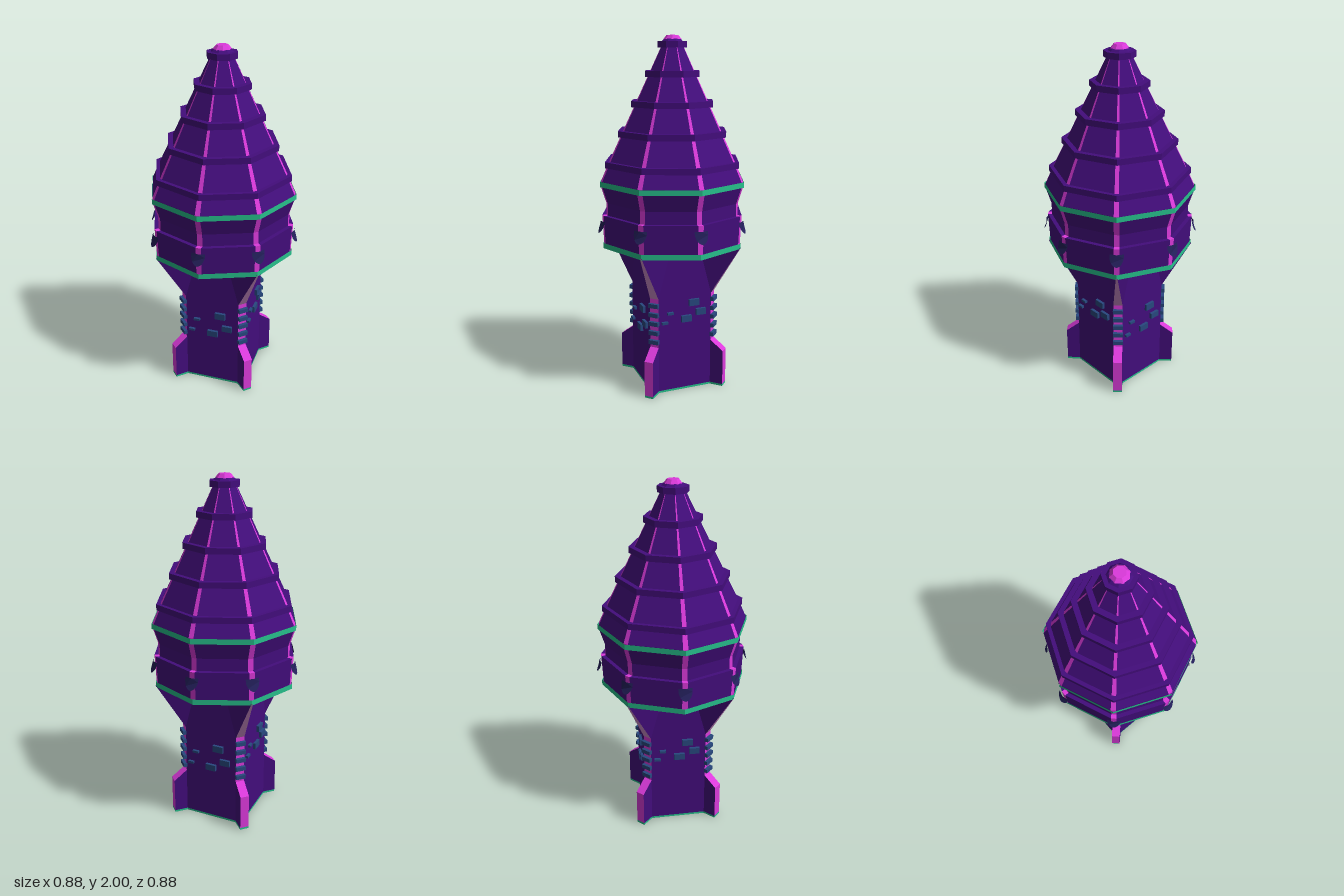
import * as THREE from 'three';

const mat = (name, color) => {
  const m = new THREE.MeshStandardMaterial({ color, flatShading: true, side: THREE.DoubleSide });
  m.name = name;
  return m;
};

// Skins a stack of closed cross-sections; pick(level, side) gives the material index.
function loft(sections, pick, materials, name) {
  const buckets = materials.map(() => []);
  for (let l = 0; l < sections.length - 1; l++) {
    const lo = sections[l], hi = sections[l + 1], n = lo.length;
    for (let i = 0; i < n; i++) {
      const j = (i + 1) % n;
      const out = buckets[pick(l, i)];
      for (const p of [lo[i], lo[j], hi[j], lo[i], hi[j], hi[i]]) out.push(...p);
    }
  }
  const g = new THREE.BufferGeometry();
  g.setAttribute('position', new THREE.Float32BufferAttribute(buckets.flat(), 3));
  let start = 0;
  buckets.forEach((b, k) => {
    g.addGroup(start, b.length / 3, k);
    start += b.length / 3;
  });
  g.computeVertexNormals();
  const mesh = new THREE.Mesh(g, materials);
  mesh.name = name;
  return mesh;
}

// Octagon with narrow flats of width w cut at its eight corners.
function headSection([y, r, w]) {
  const pts = [];
  for (let k = 0; k < 8; k++) {
    const a = k * Math.PI / 4, s = Math.sin(a), c = Math.cos(a);
    for (const t of [-w / 2, w / 2]) pts.push([r * s + t * c, y, r * c - t * s]);
  }
  return pts;
}

// Square with four corner fins, each given by its root and tip points.
function shaftSection([y, rootX, rootZ, tipX, tipZ]) {
  const pts = [];
  for (let k = 0; k < 4; k++) {
    for (let [x, z] of [[rootX, rootZ], [tipX, tipZ], [tipZ, tipX], [rootZ, rootX]]) {
      for (let q = 0; q < k; q++) [x, z] = [z, -x];
      pts.push([x, y, z]);
    }
  }
  return pts;
}

export function createModel() {
  const model = new THREE.Group();
  const purple = mat('purple', 0x430d7c);
  const magenta = mat('magenta', 0xdb3adb);
  const pink = mat('pink', 0xcf8fcc);
  const green = mat('green', 0x27c08c);
  const blue = mat('windowBlue', 0x28487f);
  const navy = mat('darkNavy', 0x24205c);

  const add = (parent, name, geo, material, x = 0, y = 0, z = 0) => {
    const m = new THREE.Mesh(geo, material);
    m.name = name;
    m.position.set(x, y, z);
    parent.add(m);
    return m;
  };

  // Hollow shaft: foot trim, corner fins, chamfered corners, flared braces
  const shaft = [
    [0, 0.16, 0.197, 0.215, 0.252],
    [0.012, 0.16, 0.197, 0.215, 0.252],
    [0.22, 0.16, 0.197, 0.215, 0.252],
    [0.28, 0.16, 0.197, 0.16, 0.197],
    [0.57, 0.16, 0.197, 0.16, 0.197],
    [0.85, 0.085, 0.197, 0.291, 0.298],
  ].map(shaftSection);
  model.add(loft(shaft, (l, i) => {
    if (l === 0) return 3;
    if (i % 4 !== 1) return 0;
    return l === 4 ? 2 : 1;
  }, [purple, magenta, pink, green], 'shaft'));

  // Head: underside, skirt, waist, bulge and tapering roof with corner ribs
  const head = [
    [0.848, 0, 0],
    [0.848, 0.405, 0.03],
    [0.87, 0.405, 0.03],
    [1.03, 0.412, 0.03],
    [1.03, 0.388, 0.03],
    [1.1, 0.388, 0.03],
    [1.19, 0.416, 0.03],
    [1.22, 0.416, 0.028],
    [1.32, 0.37, 0.024],
    [1.64, 0.212, 0.014],
    [1.965, 0.052, 0.003],
  ].map(headSection);
  model.add(loft(head, (l, i) => (l > 0 && i % 2 === 0 ? 1 : 0), [purple, magenta], 'head'));

  // Green belts
  for (const [y, r] of [[0.857, 0.414], [1.205, 0.425]]) {
    add(model, 'belt', new THREE.CylinderGeometry(r, r, 0.03, 8, 1, true), green, 0, y, 0);
  }

  // Roof steps
  for (const [y, r] of [[1.31, 0.395], [1.475, 0.318], [1.635, 0.24], [1.795, 0.16], [1.95, 0.085]]) {
    add(model, 'roofStep', new THREE.CylinderGeometry(r, r, 0.033, 8), purple, 0, y, 0);
  }
  add(model, 'crown', new THREE.CylinderGeometry(0.05, 0.064, 0.014, 8), purple, 0, 1.972, 0);
  const cap = add(model, 'cap', new THREE.CylinderGeometry(0.032, 0.05, 0.022, 8), magenta, 0, 1.989, 0);
  cap.rotation.y = Math.PI / 8;

  // Tilted scallop shades at the eight skirt corners
  const scallop = new THREE.Shape();
  scallop.moveTo(-0.038, 0.015);
  scallop.lineTo(-0.038, -0.005);
  scallop.quadraticCurveTo(-0.032, -0.045, 0, -0.052);
  scallop.quadraticCurveTo(0.032, -0.045, 0.038, -0.005);
  scallop.lineTo(0.038, 0.015);
  scallop.lineTo(0, 0.015);
  const shadeGeo = new THREE.ShapeGeometry(scallop, 5);
  const sp = shadeGeo.attributes.position;
  for (let i = 0; i < sp.count; i++) {
    const x = sp.getX(i);
    sp.setZ(i, -7 * x * x - 0.25 * sp.getY(i));
  }
  shadeGeo.computeVertexNormals();
  for (let k = 0; k < 8; k++) {
    const holder = new THREE.Group();
    holder.name = 'cornerShade';
    holder.rotation.y = k * Math.PI / 4;
    add(holder, 'shade', shadeGeo, navy, 0, 0.985, 0.427);
    model.add(holder);
  }

  // Raised windows: [across, height, width, tall] on alternating walls
  const wallWindows = [
    [[0.052, 0.475, 0.062, 0.04], [0.094, 0.394, 0.06, 0.036], [0.005, 0.345, 0.062, 0.038],
      [-0.092, 0.427, 0.036, 0.014], [-0.124, 0.35, 0.036, 0.014]],
    [[0.052, 0.53, 0.062, 0.038], [0.094, 0.47, 0.06, 0.038], [0.005, 0.438, 0.062, 0.038],
      [-0.092, 0.48, 0.036, 0.014], [-0.124, 0.427, 0.036, 0.014]],
  ];
  for (let k = 0; k < 4; k++) {
    const wall = new THREE.Group();
    wall.name = 'wallWindows';
    wall.rotation.y = k * Math.PI / 2;
    for (const [x, y, w, h] of wallWindows[k % 2]) {
      add(wall, 'window', new THREE.BoxGeometry(w, h, 0.026), blue, x, y, 0.2);
    }
    model.add(wall);

    // Column of blocks on each chamfered corner
    const corner = new THREE.Group();
    corner.name = 'cornerBlocks';
    corner.rotation.y = k * Math.PI / 2 + Math.PI / 4;
    for (const y of [0.315, 0.37, 0.425, 0.477, 0.532]) {
      add(corner, 'block', new THREE.BoxGeometry(0.058, 0.024, 0.036), blue, 0, y, 0.253);
    }
    model.add(corner);
  }

  return model;
}
